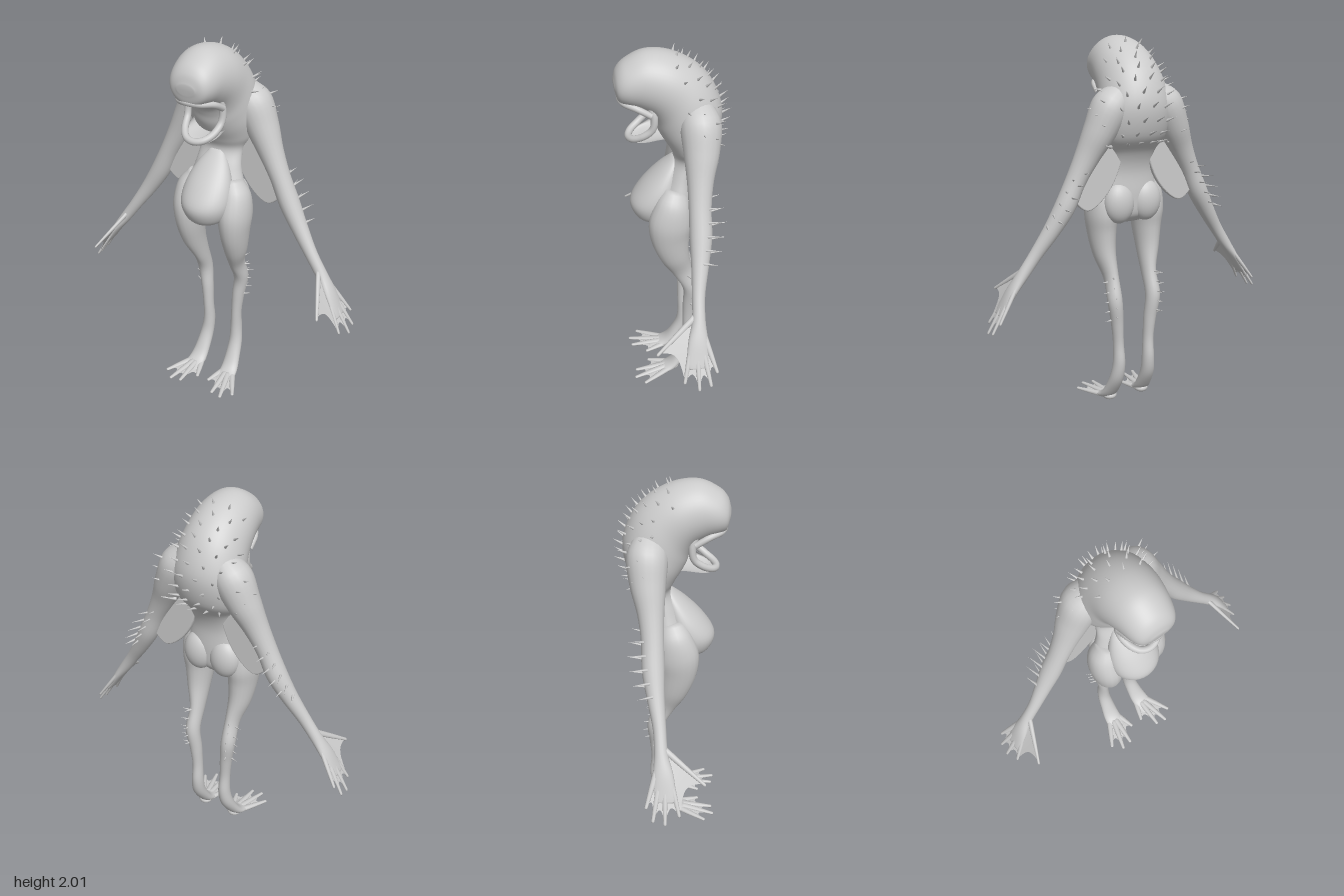
import * as THREE from 'three';
import { mergeGeometries } from 'three/addons/utils/BufferGeometryUtils.js';
import { ParametricGeometry } from 'three/addons/geometries/ParametricGeometry.js';

const V = (x, y, z) => new THREE.Vector3(x, y, z);
const skin = new THREE.MeshStandardMaterial({ color: 0xcccccc });
const thinSkin = new THREE.MeshStandardMaterial({ color: 0xcccccc, side: THREE.DoubleSide });

function add(parent, name, geometry, material = skin) {
  const mesh = new THREE.Mesh(geometry, material);
  mesh.name = name;
  parent.add(mesh);
  return mesh;
}

// Smooth interpolation of cross-sections { c, u, v }: centre and two half-axes
function sampler(sections) {
  const curve = k => new THREE.CatmullRomCurve3(sections.map(s => s[k]), false, 'catmullrom');
  const [c, u, v] = ['c', 'u', 'v'].map(curve);
  return t => ({ c: c.getPoint(t), u: u.getPoint(t), v: v.getPoint(t) });
}

// Closed skin through elliptical cross-sections
function loft(sections, radial = 28, perSection = 5) {
  const at = sampler(sections), steps = (sections.length - 1) * perSection;
  const pos = [], index = [];
  const ring = (s, k) => {
    for (let j = 0; j < radial; j++) {
      const a = j / radial * Math.PI * 2;
      const p = s.c.clone().addScaledVector(s.u, k * Math.cos(a)).addScaledVector(s.v, k * Math.sin(a));
      pos.push(p.x, p.y, p.z);
    }
  };
  ring(at(0), 0);
  for (let i = 0; i <= steps; i++) ring(at(i / steps), 1);
  ring(at(1), 0);
  for (let i = 0; i < steps + 2; i++) for (let j = 0; j < radial; j++) {
    const a = i * radial + j, b = i * radial + (j + 1) % radial;
    index.push(a, b, a + radial, b, b + radial, a + radial);
  }
  const g = new THREE.BufferGeometry();
  g.setAttribute('position', new THREE.Float32BufferAttribute(pos, 3));
  g.setIndex(index);
  g.computeVertexNormals();
  return g;
}

// Sections from rows [back z, back y, front z, front y, half width]
const bodySections = rows => rows.map(([bz, by, fz, fy, w]) => ({
  c: V(0, (by + fy) / 2, (bz + fz) / 2), u: V(0, (by - fy) / 2, (bz - fz) / 2), v: V(w, 0, 0),
}));

// Limb along rows [x, y, z, radius along ref, other radius]
function limb(rows, ref, radial = 20) {
  const p = rows.map(r => V(r[0], r[1], r[2]));
  return loft(rows.map((r, i) => {
    const t = p[Math.min(i + 1, p.length - 1)].clone().sub(p[Math.max(i - 1, 0)]).normalize();
    const u = ref.clone().addScaledVector(t, -t.dot(ref)).normalize();
    const v = t.clone().cross(u);
    return { c: p[i], u: u.multiplyScalar(r[3]), v: v.multiplyScalar(r[4]) };
  }), radial);
}

function spike(base, dir, length, radius = 0.009) {
  const d = dir.clone().normalize();
  const g = new THREE.ConeGeometry(radius, length + 0.02, 7).translate(0, length / 2 - 0.01, 0);
  g.applyQuaternion(new THREE.Quaternion().setFromUnitVectors(V(0, 1, 0), d));
  return g.translate(base.x, base.y, base.z);
}

// Digits with a scalloped web stretched between them
function webbed(parent, name, roots, tips, ref, radius, scallop) {
  const group = new THREE.Group();
  group.name = name;
  parent.add(group);
  roots.forEach((r, i) => {
    const row = (f, k) => [...r.clone().lerp(tips[i], f).toArray(), radius * k, radius * k * 0.75];
    add(group, 'digit', limb([row(0, 1.2), row(0.5, 0.95), row(0.85, 0.65), row(0.97, 0.55), row(1, 0.2)], ref, 10));
  });
  const n = roots.length - 1;
  add(group, 'web', new ParametricGeometry((a, f, out) => {
    const i = Math.min(n - 1, Math.floor(a * n)), s = a * n - i;
    const reach = f * (0.94 - scallop * 4 * s * (1 - s));
    const root = roots[i].clone().lerp(roots[i + 1], s);
    out.copy(tips[i]).lerp(tips[i + 1], s).sub(root).multiplyScalar(reach).add(root);
  }, n * 8, 8), thinSkin);
}

function buildSide(s) {
  const side = new THREE.Group();
  side.name = s > 0 ? 'leftSide' : 'rightSide';
  const X = V(1, 0, 0), Z = V(0, 0, 1);
  const flip = rows => rows.map(([x, ...r]) => [x * s, ...r]);
  const points = rows => flip(rows).map(r => V(...r));

  // Leg, from hip to instep
  add(side, 'leg', limb(flip([
    [0.1, 1.27, 0.01, 0.05, 0.06], [0.125, 1.2, 0.03, 0.08, 0.09], [0.135, 1.1, 0.045, 0.086, 0.112],
    [0.135, 0.99, 0.045, 0.074, 0.1], [0.13, 0.87, 0.02, 0.058, 0.078], [0.114, 0.75, -0.025, 0.038, 0.055],
    [0.115, 0.63, -0.072, 0.04, 0.045], [0.1, 0.5, -0.068, 0.034, 0.038], [0.092, 0.38, -0.065, 0.029, 0.034],
    [0.09, 0.27, -0.07, 0.033, 0.038], [0.095, 0.18, -0.055, 0.038, 0.036], [0.1, 0.095, -0.01, 0.044, 0.03],
    [0.105, 0.04, 0.035, 0.05, 0.026], [0.11, 0.02, 0.09, 0.052, 0.014], [0.115, 0.014, 0.14, 0.045, 0.008]]), X));
  webbed(side, 'foot',
    points([[0.08, 0.025, 0.04], [0.1, 0.028, 0.07], [0.115, 0.028, 0.07], [0.13, 0.025, 0.05]]),
    points([[0.035, 0.014, 0.17], [0.105, 0.012, 0.25], [0.165, 0.012, 0.26], [0.22, 0.014, 0.21]]), X, 0.016, 0.28);
  const heel = add(side, 'heel', new THREE.SphereGeometry(1, 16, 12));
  heel.scale.set(0.04, 0.025, 0.04);
  heel.position.set(0.1 * s, 0.027, 0.03);

  // Buttock
  const buttock = add(side, 'buttock', new THREE.SphereGeometry(1, 24, 16));
  buttock.scale.set(0.085, 0.11, 0.065);
  buttock.position.set(0.078 * s, 1.16, -0.05);

  // Arm, from shoulder to palm
  add(side, 'arm', limb(flip([
    [0.08, 1.75, -0.09, 0.07, 0.06], [0.15, 1.67, -0.1, 0.1, 0.095], [0.21, 1.55, -0.095, 0.088, 0.083],
    [0.27, 1.43, -0.08, 0.066, 0.064], [0.33, 1.31, -0.07, 0.056, 0.052], [0.39, 1.18, -0.065, 0.056, 0.053],
    [0.46, 1.06, -0.05, 0.044, 0.044], [0.54, 0.94, -0.03, 0.033, 0.034], [0.61, 0.84, -0.02, 0.034, 0.03],
    [0.67, 0.755, -0.008, 0.05, 0.023], [0.72, 0.67, 0, 0.055, 0.013], [0.74, 0.64, 0, 0.045, 0.006]]), Z));
  webbed(side, 'hand',
    points([[0.6, 0.86, -0.005], [0.665, 0.765, 0.02], [0.67, 0.76, 0], [0.665, 0.765, -0.02], [0.65, 0.79, -0.035]]),
    points([[0.69, 0.71, 0.2], [0.77, 0.575, 0.075], [0.8, 0.545, 0.005], [0.795, 0.56, -0.055], [0.765, 0.62, -0.09]]),
    Z, 0.014, 0.22);

  // Rounded flap between ribs and elbow
  const shape = new THREE.Shape();
  const outline = [[0.07, 1.5], [0.2, 1.51], [0.32, 1.34], [0.36, 1.24], [0.325, 1.18], [0.27, 1.145], [0.2, 1.18], [0.11, 1.3]];
  shape.setFromPoints(new THREE.CatmullRomCurve3(outline.map(([x, y]) => V(x * s, y, 0)), true)
    .getPoints(48).slice(0, -1).map(p => new THREE.Vector2(p.x, p.y)));
  add(side, 'armFlap', new THREE.ExtrudeGeometry(shape, {
    depth: 0.012, bevelThickness: 0.01, bevelSize: 0.008, bevelOffset: -0.008, bevelSegments: 3,
  })).position.z = -0.075;

  // Elbow and knee spikes
  const elbow = [], knee = [];
  for (let i = 0; i < 10; i++) {
    const f = i / 9, odd = i % 2;
    elbow.push(spike(V(s * (0.31 + 0.15 * f + (odd ? 0.03 : -0.005)), 1.35 - 0.26 * f, -0.115 + 0.025 * f + odd * 0.012),
      V(s * (odd ? 0.35 : 0), 0.12 - 0.3 * (f - 0.5), -1), 0.06 + 0.035 * Math.sin(f * Math.PI)));
    knee.push(spike(V(s * (odd ? 0.148 : 0.125) - s * 0.01 * f, 0.76 - 0.24 * f, (odd ? -0.07 : -0.1) + (f < 0.3 ? 0.02 : 0)),
      V(s * (odd ? 1 : 0.4), 0.15, odd ? -0.35 : -1), 0.045, 0.008));
  }
  add(side, 'elbowSpikes', mergeGeometries(elbow));
  add(side, 'kneeSpikes', mergeGeometries(knee));
  return side;
}

export function createModel() {
  const model = new THREE.Group();
  model.name = 'frogCreature';

  // Head, hunched back, waist and pelvis in one skin
  const trunk = bodySections([
    [0.298, 1.86, 0.292, 1.81, 0.045], [0.28, 1.915, 0.277, 1.76, 0.09], [0.235, 1.96, 0.24, 1.738, 0.118],
    [0.14, 2.0, 0.18, 1.715, 0.138], [0.02, 1.985, 0.13, 1.685, 0.155], [-0.1, 1.92, 0.105, 1.64, 0.165],
    [-0.185, 1.82, 0.09, 1.59, 0.178], [-0.23, 1.68, 0.065, 1.54, 0.185], [-0.2, 1.53, 0.03, 1.48, 0.165],
    [-0.125, 1.43, 0.01, 1.42, 0.122], [-0.09, 1.33, 0.05, 1.33, 0.13], [-0.09, 1.2, 0.1, 1.2, 0.165],
    [-0.08, 1.1, 0.1, 1.08, 0.14], [-0.04, 1.05, 0.06, 1.03, 0.07]]);
  add(model, 'headAndTorso', loft(trunk, 48, 6));

  // Pot belly
  add(model, 'belly', loft(bodySections([
    [-0.02, 1.43, 0.015, 1.42, 0.03], [-0.02, 1.36, 0.095, 1.35, 0.085], [-0.02, 1.27, 0.18, 1.26, 0.124],
    [-0.02, 1.18, 0.235, 1.17, 0.135], [0, 1.1, 0.218, 1.095, 0.113], [0.03, 1.06, 0.175, 1.055, 0.07],
    [0.07, 1.043, 0.12, 1.04, 0.025]]), 36));

  // Hanging lower jaw with a rolled lip
  add(model, 'lowerJaw', loft(bodySections([
    [0.03, 1.67, 0.0, 1.53, 0.08], [0.1, 1.635, 0.075, 1.54, 0.095], [0.15, 1.592, 0.14, 1.54, 0.092],
    [0.2, 1.572, 0.19, 1.535, 0.072], [0.235, 1.568, 0.228, 1.545, 0.04]]), 28));
  const lip = [[0.09, 1.75, 0.13], [0.098, 1.69, 0.115], [0.095, 1.63, 0.125], [0.08, 1.585, 0.175], [0.045, 1.56, 0.22]];
  const lipPoints = [...lip, [0, 1.553, 0.234], ...lip.map(([x, y, z]) => [-x, y, z]).reverse()];
  add(model, 'lowerLip', new THREE.TubeGeometry(new THREE.CatmullRomCurve3(lipPoints.map(p => V(...p))), 60, 0.018, 12));
  add(model, 'upperLip', new THREE.TubeGeometry(new THREE.CatmullRomCurve3(
    [[-0.105, 1.71, 0.13], [-0.095, 1.75, 0.2], [-0.055, 1.762, 0.255], [0, 1.765, 0.27], [0.055, 1.762, 0.255],
      [0.095, 1.75, 0.2], [0.105, 1.71, 0.13]].map(p => V(...p))), 48, 0.016, 10));

  // Rows of spikes over the crown and hump
  const at = sampler(trunk), spikes = [];
  for (let row = 0; row < 10; row++) {
    const f = row / 9, { c, u, v } = at((4.2 + 4.2 * f) / (trunk.length - 1));
    const count = row < 3 ? 4 : 7, spread = row < 3 ? 0.8 : 1.35;
    for (let j = 0; j < count; j++) {
      const a = ((j + (row % 2 ? 0.3 : -0.3)) / (count - 1) * 2 - 1) * spread;
      const base = c.clone().addScaledVector(u, Math.cos(a)).addScaledVector(v, Math.sin(a));
      const out = u.clone().multiplyScalar(Math.cos(a) / u.lengthSq()).addScaledVector(v, Math.sin(a) / v.lengthSq()).normalize();
      // Spikes on the flanks stand on the shoulders
      if (row > 4 && Math.abs(a) > 1) base.addScaledVector(V(Math.sign(a), 0, -0.3), 0.05);
      spikes.push(spike(base, out.add(V(0, 0.15, 0)), 0.035 + 0.03 * f, 0.01));
    }
  }
  add(model, 'backSpikes', mergeGeometries(spikes));

  model.add(buildSide(1), buildSide(-1));
  return model;
}
